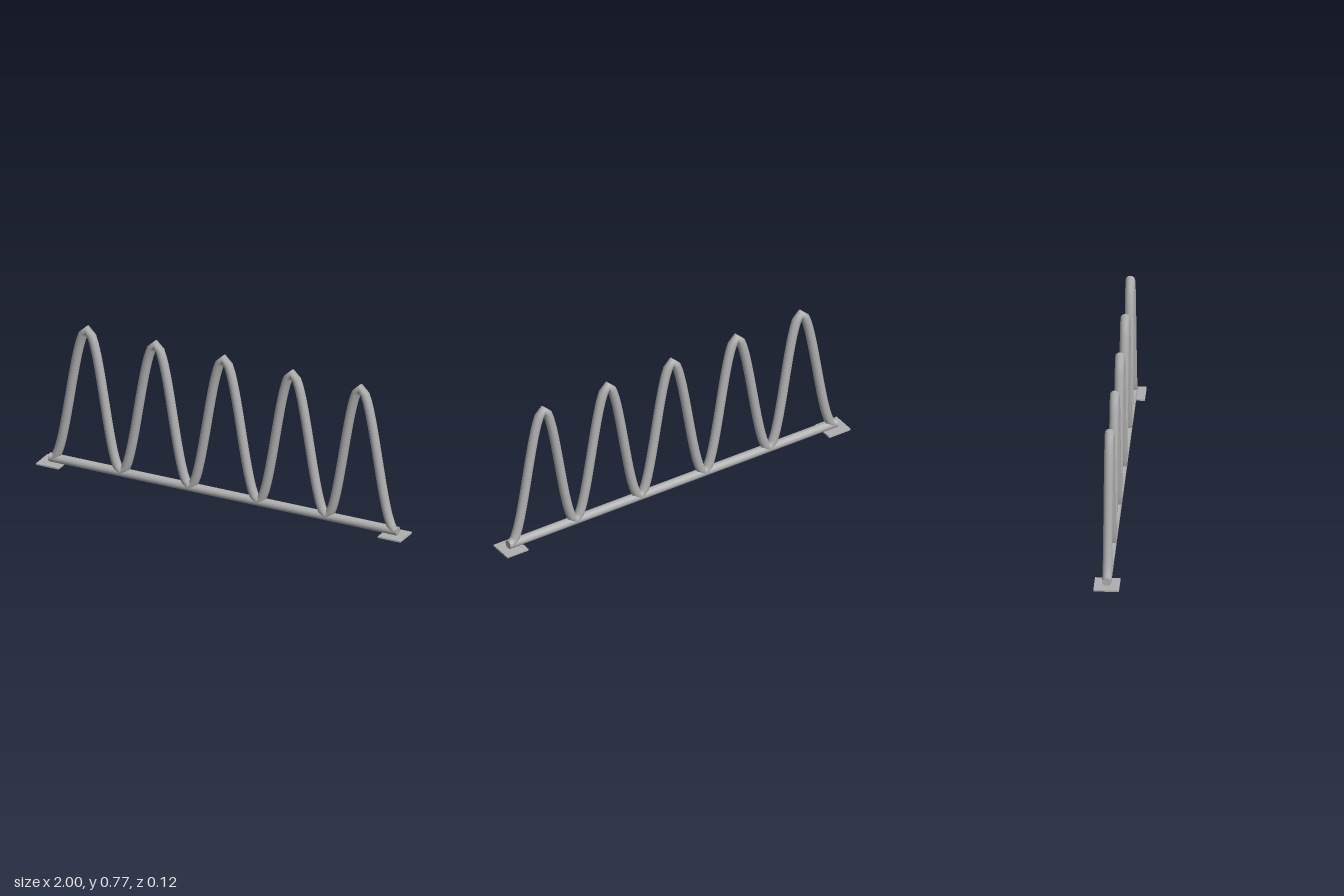
import * as THREE from 'three';

// Wave-shaped centreline of the bent rail
class WaveCurve extends THREE.Curve {
  getPoint(t, target = new THREE.Vector3()) {
    const low = 0.03, high = 0.75, loops = 5, span = 1.875;
    const lift = (1 - Math.cos(t * loops * Math.PI * 2)) / 2;
    return target.set((t - 0.5) * span, low + (high - low) * lift, 0);
  }
}

export function createModel() {
  const group = new THREE.Group();
  const steel = new THREE.MeshStandardMaterial({ color: 0xb0b0b0, side: THREE.DoubleSide });
  steel.name = 'galvanised steel';

  const add = (name, geometry, x = 0, y = 0) => {
    const mesh = new THREE.Mesh(geometry, steel);
    mesh.name = name;
    mesh.position.set(x, y, 0);
    group.add(mesh);
    return mesh;
  };

  // Bent rail with five loops
  const curve = new WaveCurve();
  curve.arcLengthDivisions = 2000;
  add('waveRail', new THREE.TubeGeometry(curve, 200, 0.0235, 16, false));

  // Straight bar along the ground
  const bar = new THREE.CylinderGeometry(0.0225, 0.0225, 1.908, 20);
  bar.rotateZ(Math.PI / 2);
  add('baseBar', bar, 0, 0.0275);

  // Floor plates under both ends
  for (const side of [-1, 1]) {
    add(side > 0 ? 'leftFootPlate' : 'rightFootPlate',
      new THREE.BoxGeometry(0.125, 0.008, 0.125), side * 0.9375, 0.004);
  }
  return group;
}
